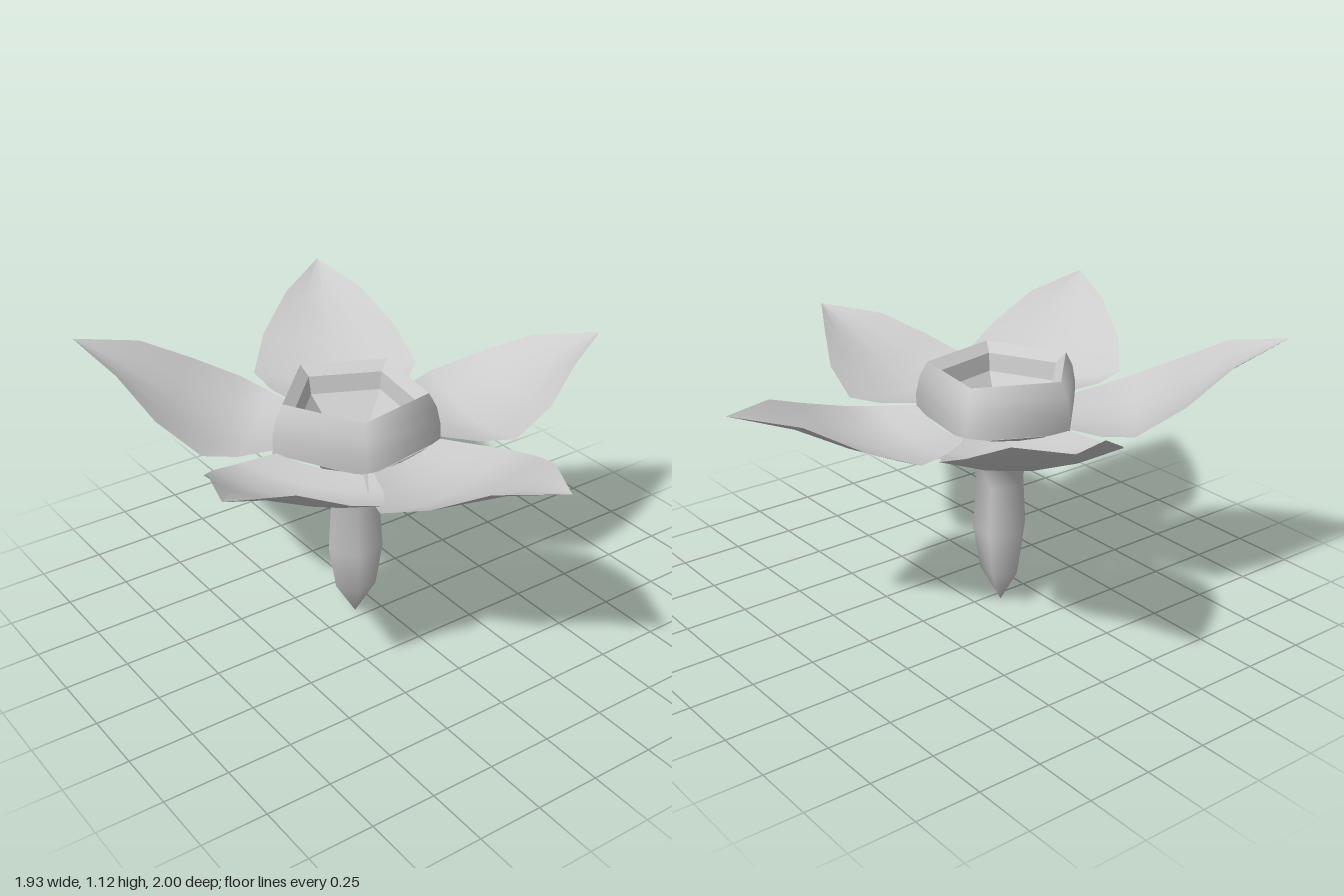
import * as THREE from 'three';

const smooth = new THREE.MeshStandardMaterial({ color: 0xcccccc, side: THREE.DoubleSide });
const faceted = new THREE.MeshStandardMaterial({ color: 0xcccccc, side: THREE.DoubleSide, flatShading: true });
const deg = THREE.MathUtils.degToRad;

// Five-sided turned part with its corners between the petals
function pentagonal(name, profile, material) {
  const points = profile.map(([r, y]) => new THREE.Vector2(r, y));
  const mesh = new THREE.Mesh(new THREE.LatheGeometry(points, 5, deg(46)), material);
  mesh.name = name;
  return mesh;
}

// Petal rows from base to tip: distance, half width, height, lift of the edges
const ROWS = [
  [0.265, 0.19, 0.785, 0.025],
  [0.38, 0.27, 0.76, 0.04],
  [0.5, 0.325, 0.745, 0.06],
  [0.68, 0.268, 0.825, 0.045],
  [0.85, 0.155, 0.91, 0.045],
  [1.06, 0, 0.985, 0],
];
const COLUMNS = 4;

function petal(angle, length, tipY) {
  const geometry = new THREE.PlaneGeometry(1, 1, COLUMNS, ROWS.length - 1);
  const position = geometry.attributes.position;
  const c = Math.cos(deg(angle)), s = Math.sin(deg(angle));
  for (let i = 0; i < position.count; i++) {
    const [u, half, y, lift] = ROWS[Math.floor(i / (COLUMNS + 1))];
    const side = (i % (COLUMNS + 1)) / COLUMNS * 2 - 1;
    const t = (u - 0.265) / 0.795;
    const d = u + (length - 1.06) * t;
    const v = side * half;
    const height = y + lift * side * side + (tipY - 0.985) * t;
    position.setXYZ(i, d * c - v * s, height, d * s + v * c);
  }
  geometry.computeVertexNormals();
  const mesh = new THREE.Mesh(geometry, smooth);
  mesh.name = 'petal';
  return mesh;
}

export function createModel() {
  const flower = new THREE.Group();
  flower.name = 'flower';

  // Pointed tube flaring into the base of the petals
  flower.add(pentagonal('tube', [
    [0, 0], [0.082, 0.14], [0.11, 0.32], [0.097, 0.52], [0.145, 0.72], [0.33, 0.795],
  ], smooth));

  // Cup: rounded outer wall
  flower.add(pentagonal('cupWall', [
    [0.325, 0.795], [0.325, 0.86], [0.31, 0.93], [0.28, 0.985],
  ], smooth));

  // Cup: folded rim, short inner wall and floor down to the throat
  flower.add(pentagonal('cupInside', [
    [0.28, 0.985], [0.235, 0.95], [0.225, 0.88], [0.11, 0.76],
  ], faceted));

  // Petals: direction, length, tip height
  const petals = [
    [8.6, 1.08, 0.985], [82.7, 1.05, 0.99], [147.5, 1.025, 1.07], [223, 1.04, 1.12], [296.6, 1.07, 1.07],
  ];
  for (const p of petals) flower.add(petal(...p));

  flower.position.set(-0.1, 0, -0.04);
  const model = new THREE.Group();
  model.add(flower);
  return model;
}
